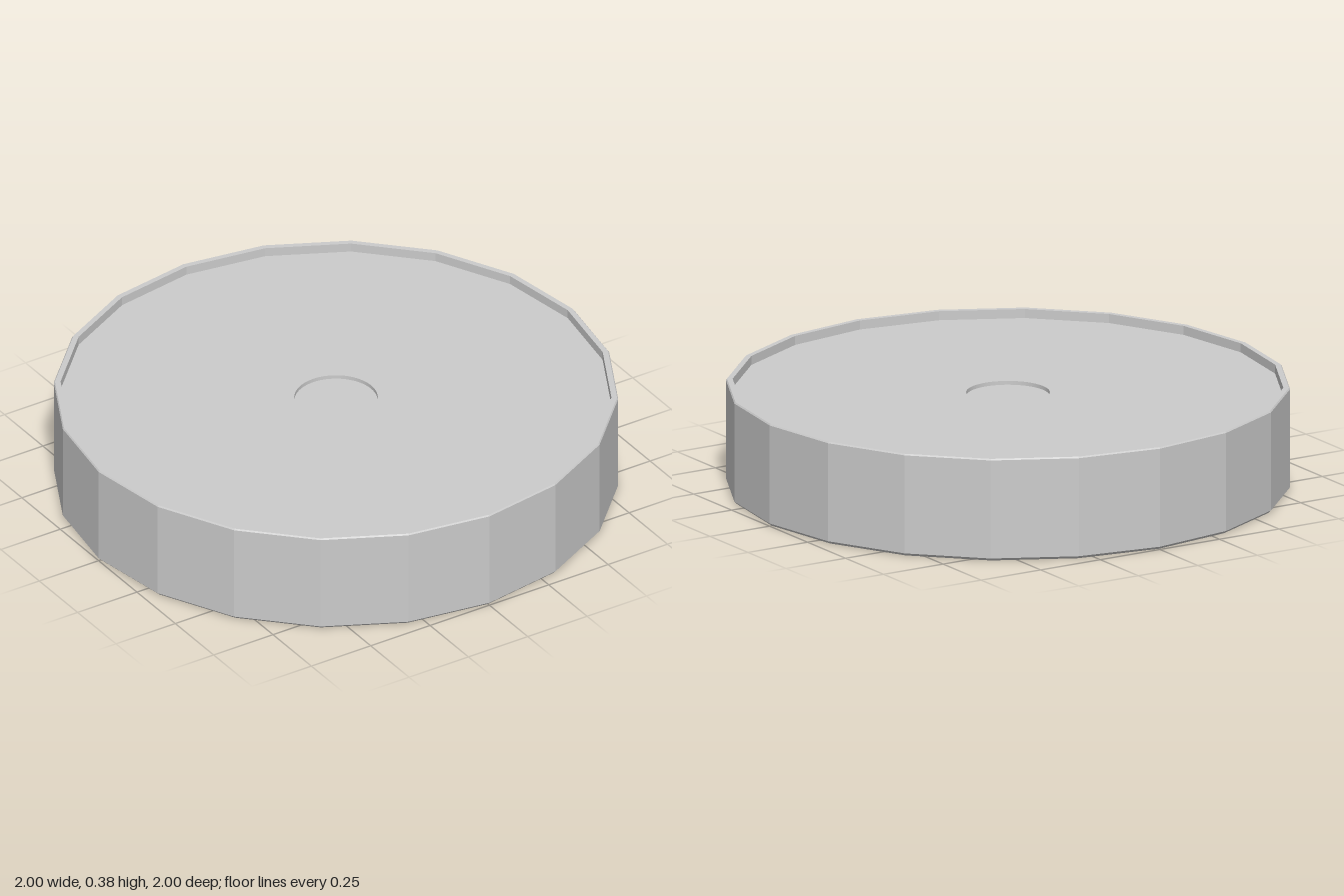
import * as THREE from 'three';

const SIDES = 20;      // facets of the outer wall
const HEIGHT = 0.375;
const FLOOR_Y = 0.342; // sunken top surface
const RIM_R = 0.976;   // inner radius of the rim
const HOLE_R = 0.148;
const HOLE_DEPTH = 0.014;

export function createModel() {
  const group = new THREE.Group();
  const flat = new THREE.MeshStandardMaterial({ color: 0xcccccc, flatShading: true });
  const smooth = new THREE.MeshStandardMaterial({ color: 0xcccccc });

  const add = (name, geometry, material, y = 0) => {
    const mesh = new THREE.Mesh(geometry, material);
    mesh.name = name;
    mesh.position.y = y;
    group.add(mesh);
    return mesh;
  };

  // Base, faceted wall with small bevels, and raised rim
  const profile = [
    [0, 0], [0.99, 0], [1, 0.01], [1, HEIGHT - 0.005],
    [0.996, HEIGHT], [RIM_R, HEIGHT], [RIM_R, FLOOR_Y],
  ].map(([r, y]) => new THREE.Vector2(r, y));
  add('bodyAndRim', new THREE.LatheGeometry(profile, SIDES), flat);

  // Top surface inside the rim, with the round opening
  const outline = [];
  for (let i = 0; i < SIDES; i++) {
    const a = (i / SIDES) * Math.PI * 2;
    outline.push(new THREE.Vector2(RIM_R * Math.cos(a), RIM_R * Math.sin(a)));
  }
  const top = new THREE.Shape(outline);
  top.holes.push(new THREE.Path().absarc(0, 0, HOLE_R, 0, Math.PI * 2, true));
  add('topSurface', new THREE.ShapeGeometry(top, 32).rotateX(-Math.PI / 2), flat, FLOOR_Y);

  // Shallow central recess: inward-facing wall and floor
  const wall = [new THREE.Vector2(HOLE_R, HOLE_DEPTH), new THREE.Vector2(HOLE_R, 0)];
  add('recessWall', new THREE.LatheGeometry(wall, 64), smooth, FLOOR_Y - HOLE_DEPTH);
  add('recessFloor', new THREE.CircleGeometry(HOLE_R, 64).rotateX(-Math.PI / 2), smooth, FLOOR_Y - HOLE_DEPTH);

  return group;
}
